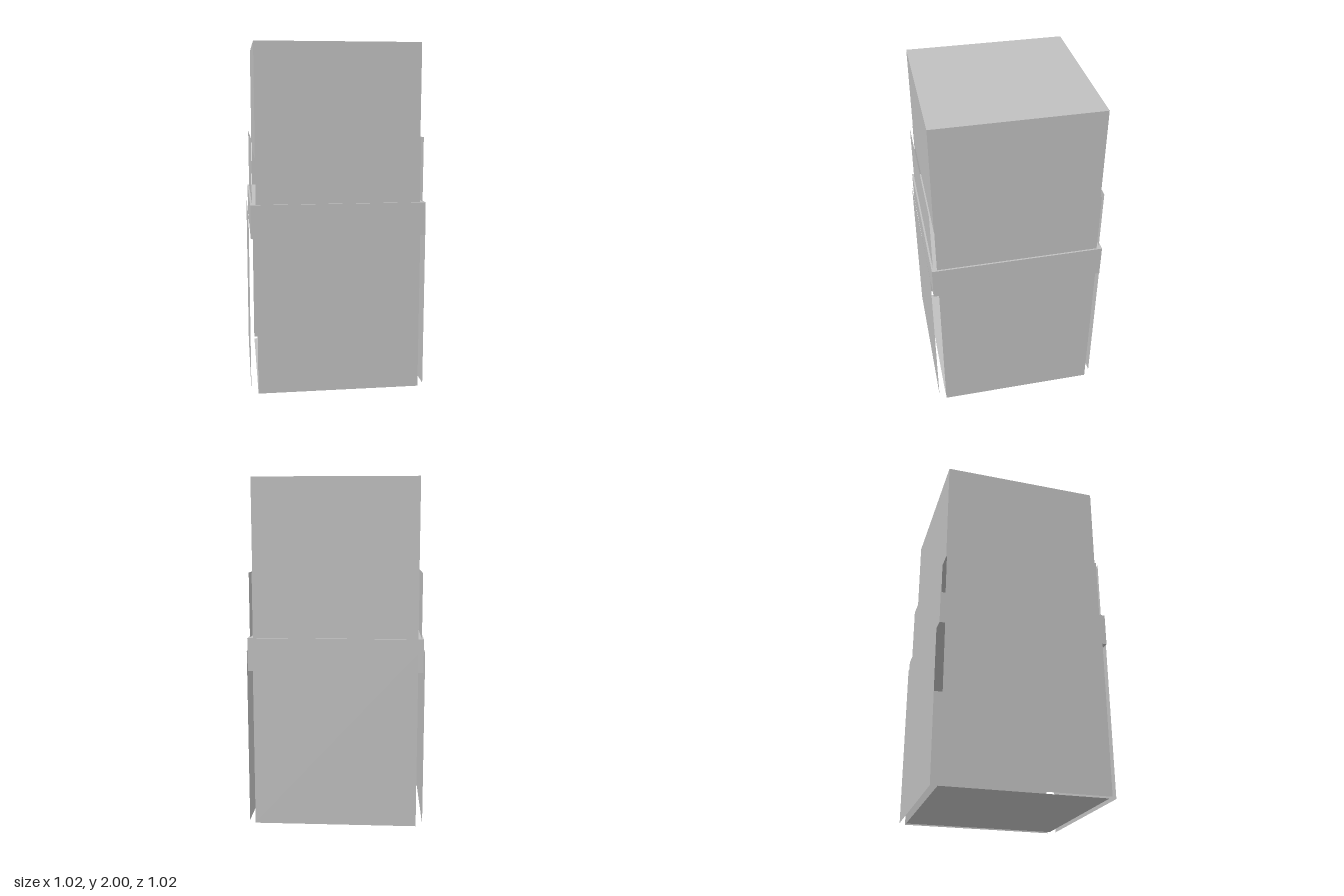
import * as THREE from 'three';

const grey = new THREE.MeshStandardMaterial({ color: 0xc0c0c0, side: THREE.DoubleSide });
grey.name = 'plain grey';

const WIDTH = 0.94;

// Closed square block between two heights
function block(name, width, y0, y1) {
  const mesh = new THREE.Mesh(new THREE.BoxGeometry(width, y1 - y0, width), grey);
  mesh.position.y = (y0 + y1) / 2;
  mesh.name = name;
  return mesh;
}

// Four thin sheets, one per side, leaving the corners open
function panelRing(name, offset, y0, y1) {
  const ring = new THREE.Group();
  ring.name = name + 's';
  for (let i = 0; i < 4; i++) {
    const geometry = new THREE.PlaneGeometry(WIDTH, y1 - y0);
    geometry.translate(0, (y0 + y1) / 2, offset);
    geometry.rotateY(i * Math.PI / 2);
    const panel = new THREE.Mesh(geometry, grey);
    panel.name = name;
    ring.add(panel);
  }
  return ring;
}

export function createModel() {
  const model = new THREE.Group();
  model.name = 'stackedBox';

  // Floor sheet, open all round to the lower panels
  const floor = new THREE.Mesh(new THREE.PlaneGeometry(WIDTH, WIDTH), grey);
  floor.rotation.x = -Math.PI / 2;
  floor.name = 'floor';

  model.add(
    floor,
    panelRing('lowerPanel', 0.51, 0, 1.02),
    block('middleBand', 1, 0.91, 1.1),
    panelRing('upperPanel', 0.49, 1.1, 1.47),
    block('topBlock', WIDTH, 1.36, 2)
  );
  return model;
}
